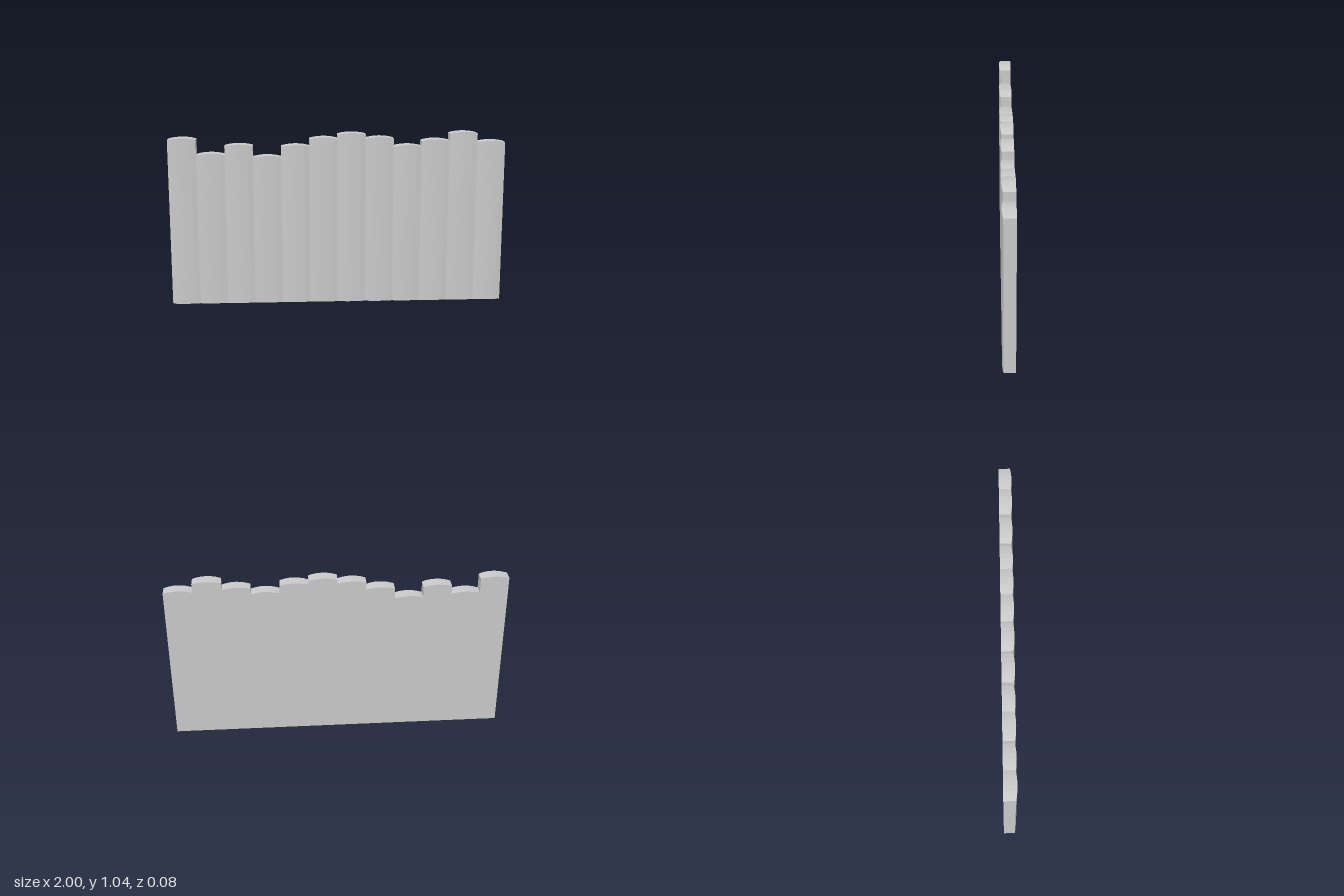
import * as THREE from 'three';

// Crown height of each plank, from -x to +x
const HEIGHTS = [1.013, 0.921, 0.973, 0.904, 0.968, 1.012, 1.037, 1.012, 0.963, 0.996, 1.039, 0.985];
const WIDTH = 2 / HEIGHTS.length;
const BACK = -0.038, FRONT = 0.038;
const TOP_RISE = 0.011, FRONT_BULGE = 0.008;

// Plank with a flat back, a gently bowed front and an arched top
function plankGeometry(height) {
  const geo = new THREE.BoxGeometry(WIDTH, 1, 1, 6, 1, 1);
  const pos = geo.attributes.position;
  for (let i = 0; i < pos.count; i++) {
    const u = pos.getX(i) / (WIDTH / 2);
    const y = pos.getY(i) > 0 ? height - TOP_RISE * u * u : 0;
    const z = pos.getZ(i) > 0 ? FRONT - FRONT_BULGE * u * u : BACK;
    pos.setXYZ(i, pos.getX(i), y, z);
  }
  geo.computeVertexNormals();
  return geo;
}

export function createModel() {
  const model = new THREE.Group();
  model.name = 'plankFence';
  const material = new THREE.MeshStandardMaterial({ color: 0xcccccc, flatShading: true });

  // Row of planks side by side
  HEIGHTS.forEach((height, i) => {
    const plank = new THREE.Mesh(plankGeometry(height), material);
    plank.name = `plank${i + 1}`;
    plank.position.x = -1 + WIDTH * (i + 0.5);
    model.add(plank);
  });
  return model;
}
